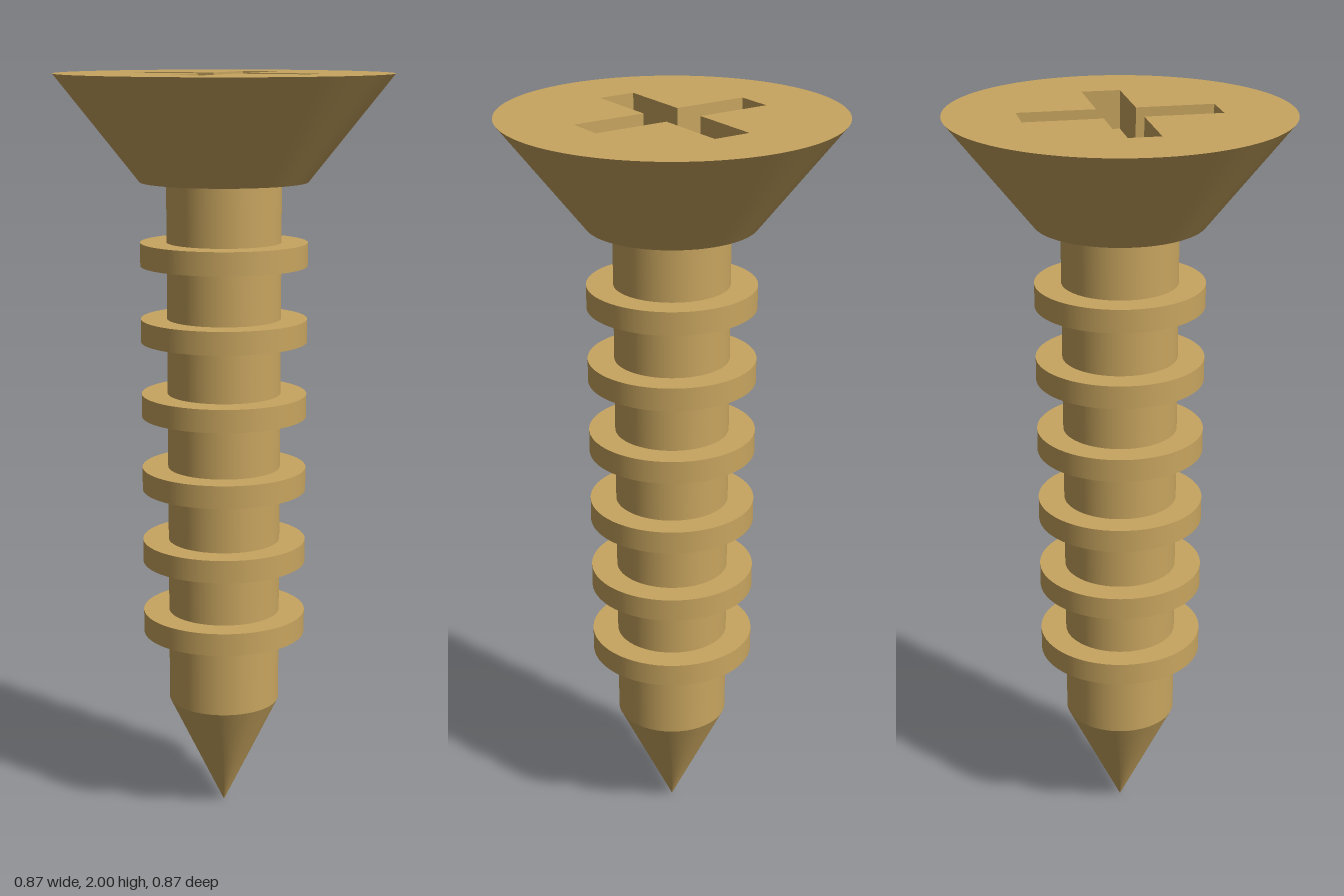
import * as THREE from 'three';

const SEG = 64;

export function createModel() {
  const model = new THREE.Group();
  const brass = new THREE.MeshStandardMaterial({ color: 0xc8a55f });
  brass.name = 'brass';

  const add = (name, geometry, y, parent = model) => {
    const mesh = new THREE.Mesh(geometry, brass);
    mesh.name = name;
    mesh.position.y = y;
    parent.add(mesh);
    return mesh;
  };
  // Cylinder or cone placed by its bottom and top heights
  const turned = (name, rTop, rBottom, y0, y1, open = false, parent = model) =>
    add(name, new THREE.CylinderGeometry(rTop, rBottom, y1 - y0, SEG, 1, open), (y0 + y1) / 2, parent);

  // Pointed tip and shank
  const shankR = 0.15, tipTop = 0.312, headBottom = 1.726;
  turned('tip', shankR, 0, 0, tipTop, true);
  turned('shank', shankR, shankR, tipTop, headBottom, true);

  // Six thread rings
  const threads = new THREE.Group();
  threads.name = 'threads';
  model.add(threads);
  for (let i = 0; i < 6; i++) {
    const y = 0.506 + i * 0.2005;
    turned('threadRing', 0.219, 0.219, y, y + 0.061, false, threads);
  }

  // Countersunk head: cone side, underside and top face with a cross slot
  const head = new THREE.Group();
  head.name = 'head';
  model.add(head);
  const R = 0.437, neckR = 0.219, top = 2, depth = 0.1;
  turned('headCone', R, neckR, headBottom, top, true, head);
  add('headUnderside', new THREE.CircleGeometry(neckR, SEG).rotateX(Math.PI / 2), headBottom, head);

  // Cross outline, one arm repeated four times anticlockwise
  const a = 0.05, b = 0.25;
  const outline = [];
  for (let i = 0; i < 4; i++) {
    for (const [x, y] of [[b, -a], [b, a], [a, a]]) {
      outline.push(new THREE.Vector2(x, y).rotateAround(new THREE.Vector2(), i * Math.PI / 2));
    }
  }
  const face = new THREE.Shape().absarc(0, 0, R, 0, Math.PI * 2, false);
  face.holes.push(new THREE.Path(outline.slice().reverse()));
  add('headFace', new THREE.ShapeGeometry(face, SEG).rotateX(-Math.PI / 2), top, head);
  add('slotFloor', new THREE.ShapeGeometry(new THREE.Shape(outline)).rotateX(-Math.PI / 2), top - depth, head);

  // Slot walls, facing inwards
  const walls = [];
  outline.forEach((p, i) => {
    const q = outline[(i + 1) % outline.length];
    walls.push(q.x, q.y, -depth, p.x, p.y, -depth, p.x, p.y, 0);
    walls.push(q.x, q.y, -depth, p.x, p.y, 0, q.x, q.y, 0);
  });
  const wallGeometry = new THREE.BufferGeometry();
  wallGeometry.setAttribute('position', new THREE.Float32BufferAttribute(walls, 3));
  wallGeometry.computeVertexNormals();
  add('slotWalls', wallGeometry.rotateX(-Math.PI / 2), top, head);

  return model;
}
